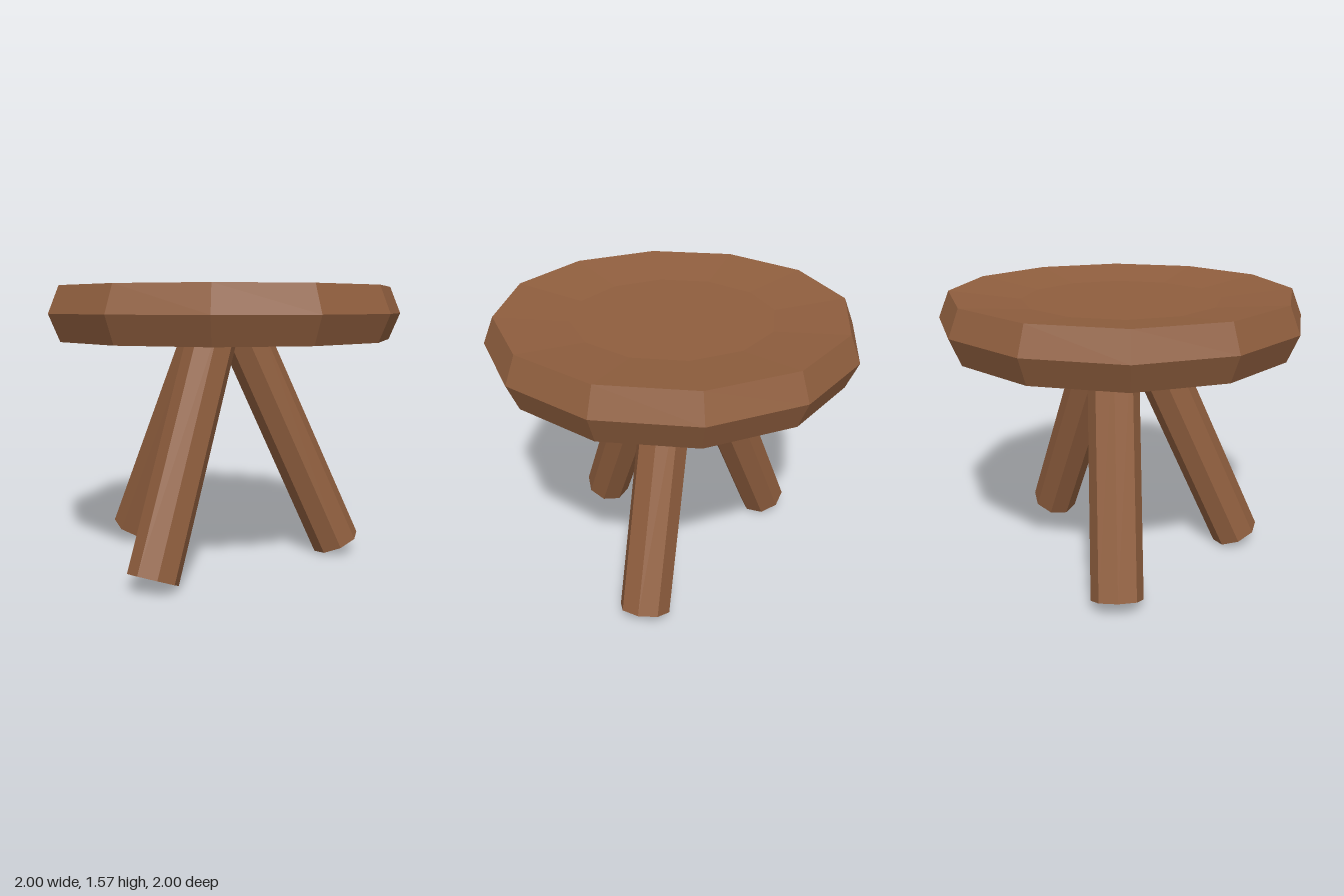
import * as THREE from 'three';

export function createModel() {
  const model = new THREE.Group();
  model.name = 'stool';
  const wood = new THREE.MeshStandardMaterial({ color: 0x8f5e3e, flatShading: true });

  // Twelve-sided seat with bevelled rim and shallow dished top
  const profile = [[0, 1.28], [0.94, 1.28], [1, 1.425], [0.94, 1.57], [0.55, 1.523], [0, 1.523]]
    .map(([r, y]) => new THREE.Vector2(r, y));
  const seat = new THREE.Mesh(new THREE.LatheGeometry(profile, 12), wood);
  seat.name = 'seat';
  model.add(seat);

  // Octagonal legs, hung from the centre of the foot and splayed outward
  const length = 1.43;
  const legGeometry = new THREE.CylinderGeometry(0.14, 0.14, length, 8);
  legGeometry.translate(0, length / 2, 0);

  function addLeg(name, x, z, yawDegrees) {
    const leg = new THREE.Mesh(legGeometry, wood);
    leg.name = name;
    leg.position.set(x, 0.06, z);
    leg.rotation.order = 'YXZ';
    leg.rotation.set(THREE.MathUtils.degToRad(-24.3), THREE.MathUtils.degToRad(yawDegrees), 0);
    model.add(leg);
  }
  addLeg('frontLeg', 0.025, 0.7, 0);
  addLeg('rightLeg', -0.71, -0.053, -90);
  addLeg('backLeftLeg', 0.535, -0.43, 127.5);

  return model;
}
